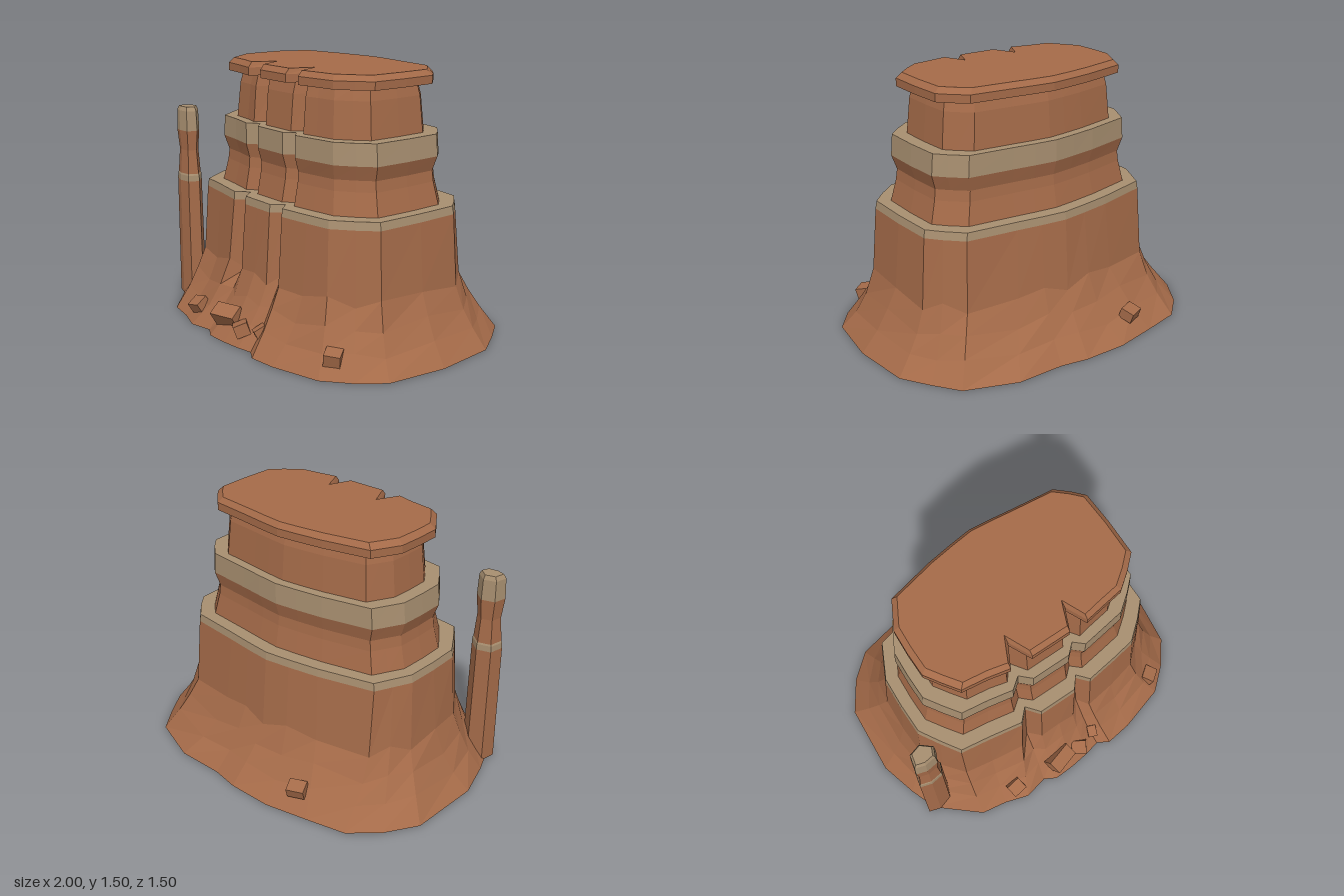
import * as THREE from 'three';

const rock = new THREE.MeshStandardMaterial({ color: 0xa56b49 });
rock.name = 'red sandstone';
const pale = new THREE.MeshStandardMaterial({ color: 0xa88f70 });
pale.name = 'pale strata';

// Plan of the butte: cliff x, cliff z, foot x, foot z (counter-clockwise from above)
const PLAN = [
  [-0.62, 0.43, -0.65, 0.66], [-0.45, 0.455, -0.5, 0.685], [-0.25, 0.49, -0.36, 0.73],
  [-0.185, 0.49, -0.22, 0.7], [-0.125, 0.5, -0.15, 0.74], [0, 0.5, -0.02, 0.735],
  [0.105, 0.5, 0.1, 0.72], [0.16, 0.5, 0.19, 0.7], [0.215, 0.5, 0.26, 0.74],
  [0.4, 0.475, 0.42, 0.72], [0.55, 0.45, 0.7, 0.64], [0.66, 0.36, 0.84, 0.52],
  [0.75, 0.27, 0.95, 0.38], [0.76, 0, 1, 0.04], [0.755, -0.25, 0.97, -0.31],
  [0.69, -0.33, 0.87, -0.47], [0.6, -0.42, 0.77, -0.61], [0.3, -0.455, 0.48, -0.72],
  [0.15, -0.475, 0.2, -0.72], [0, -0.49, 0.04, -0.75], [-0.15, -0.47, -0.22, -0.75],
  [-0.33, -0.44, -0.47, -0.7], [-0.65, -0.36, -0.7, -0.65], [-0.7, -0.26, -0.85, -0.52],
  [-0.75, -0.16, -0.97, -0.34], [-0.76, 0.02, -1, 0.08], [-0.76, 0.2, -0.94, 0.3],
  [-0.69, 0.32, -0.88, 0.46],
];
const NOTCHES = [3, 7];

// Cliff ring: scaled plan with the two front clefts cut in
function ring(y, sx, sz, cleft) {
  return PLAN.map(([x, z], i) => {
    const front = i >= 2 && i <= 8;
    return [x * (front ? 1 : sx), y, z * sz - (NOTCHES.includes(i) ? cleft : 0)];
  });
}

// Talus ring: t runs from the cliff (0) to the foot (1), with uneven height
function talusRing(y, t, cleft, rough) {
  return PLAN.map(([x, z, fx, fz], i) => [
    x + (fx - x) * t,
    y + rough * Math.sin(i * 2.4 + y * 9),
    z + (fz - z) * t - (NOTCHES.includes(i) ? cleft : 0),
  ]);
}

// Flat-sided skin through rings listed from bottom to top, with optional end caps
function loft(name, mat, rings, { top = false, bottom = false } = {}) {
  const pos = [];
  const n = rings[0].length;
  for (let r = 0; r + 1 < rings.length; r++) {
    for (let i = 0; i < n; i++) {
      const j = (i + 1) % n;
      const [a, b, c, d] = [rings[r][i], rings[r][j], rings[r + 1][j], rings[r + 1][i]];
      pos.push(...a, ...b, ...c, ...a, ...c, ...d);
    }
  }
  const cap = (loop, flip) => {
    const flat = loop.map((p) => new THREE.Vector2(p[0], -p[2]));
    for (const [a, b, c] of THREE.ShapeUtils.triangulateShape(flat, [])) {
      const tri = flip ? [c, b, a] : [a, b, c];
      tri.forEach((k) => pos.push(...loop[k]));
    }
  };
  if (top) cap(rings[rings.length - 1], false);
  if (bottom) cap(rings[0], true);
  const geo = new THREE.BufferGeometry();
  geo.setAttribute('position', new THREE.Float32BufferAttribute(pos, 3));
  geo.computeVertexNormals();
  const mesh = new THREE.Mesh(geo, mat);
  mesh.name = name;
  return mesh;
}

// Free-standing spire beside the butte
function makeSpire() {
  const g = new THREE.Group();
  g.name = 'spire';
  const outline = [[-0.085, 0.04], [-0.02, 0.06], [0.055, 0.05], [0.082, -0.01],
    [0.015, -0.068], [-0.065, -0.045]];
  const level = (y, s) => outline.map(([x, z]) => [-0.828 + x * s, y, 0.422 + z * s]);
  g.add(
    loft('spireBase', rock, [level(0, 1.08), level(0.73, 1)]),
    loft('spireLowerBand', pale, [level(0.73, 1), level(0.765, 0.98), level(0.775, 0.92)]),
    loft('spireNeck', rock, [level(0.775, 0.92), level(0.92, 0.77), level(1.04, 0.92)]),
    loft('spireTip', pale, [level(1.04, 0.92), level(1.16, 0.86), level(1.185, 0.7)], { top: true }),
  );
  return g;
}

// Loose boulders: position, size, rotation
const BOULDERS = [
  [[-0.4, 0.09, 0.65], [0.09, 0.07, 0.08], [0.5, 0.2, 0.1]],
  [[-0.08, 0.12, 0.66], [0.16, 0.1, 0.09], [0.6, 0.25, -0.15]],
  [[0.065, 0.09, 0.67], [0.09, 0.07, 0.08], [0.4, -0.5, 0.3]],
  [[0.19, 0.1, 0.63], [0.055, 0.06, 0.07], [0.5, -0.3, 0.25]],
  [[0.7, 0.1, 0.54], [0.09, 0.07, 0.08], [0.3, 0.6, -0.25]],
  [[-0.36, 0.12, -0.645], [0.1, 0.06, 0.08], [-0.35, 0.35, 0.1]],
];

export function createModel() {
  const model = new THREE.Group();
  model.name = 'butte';

  const talusTop = talusRing(0.35, 0.13, 0.06, 0.03);
  model.add(
    // Spreading rubble slope
    loft('talusSlope', rock, [
      talusRing(0, 1, 0, 0), talusRing(0.11, 0.62, 0.005, 0.015),
      talusRing(0.22, 0.35, 0.02, 0.02), talusTop,
    ], { bottom: true }),
    // Lower tier and its pale ledge
    loft('lowerCliff', rock, [talusTop, ring(0.73, 1, 1, 0.065)]),
    loft('lowerLedge', pale, [
      ring(0.73, 1, 1, 0.065), ring(0.775, 0.99, 0.99, 0.065), ring(0.775, 0.9, 0.83, 0.05),
    ]),
    // Middle tier with a worn waist
    loft('middleCliff', rock, [
      ring(0.775, 0.9, 0.83, 0.05), ring(0.9, 0.86, 0.78, 0.05),
      ring(0.96, 0.85, 0.77, 0.05), ring(1.04, 0.885, 0.815, 0.05),
    ]),
    loft('middleLedge', pale, [
      ring(1.04, 0.885, 0.815, 0.05), ring(1.16, 0.872, 0.81, 0.05), ring(1.16, 0.77, 0.7, 0.08),
    ]),
    // Upper tier
    loft('upperCliff', rock, [
      ring(1.16, 0.77, 0.7, 0.08), ring(1.36, 0.745, 0.665, 0.09), ring(1.425, 0.725, 0.63, 0.09),
    ]),
    // Overhanging cap slab
    loft('capSlab', rock, [
      ring(1.425, 0.725, 0.63, 0.09), ring(1.425, 0.83, 0.765, 0.12),
      ring(1.47, 0.83, 0.765, 0.12), ring(1.5, 0.79, 0.715, 0.13),
    ], { top: true }),
    makeSpire(),
  );

  const boulders = new THREE.Group();
  boulders.name = 'boulders';
  for (const [p, s, r] of BOULDERS) {
    const b = new THREE.Mesh(new THREE.BoxGeometry(...s), rock);
    b.name = 'boulder';
    b.position.set(...p);
    b.rotation.set(...r);
    boulders.add(b);
  }
  model.add(boulders);
  return model;
}
